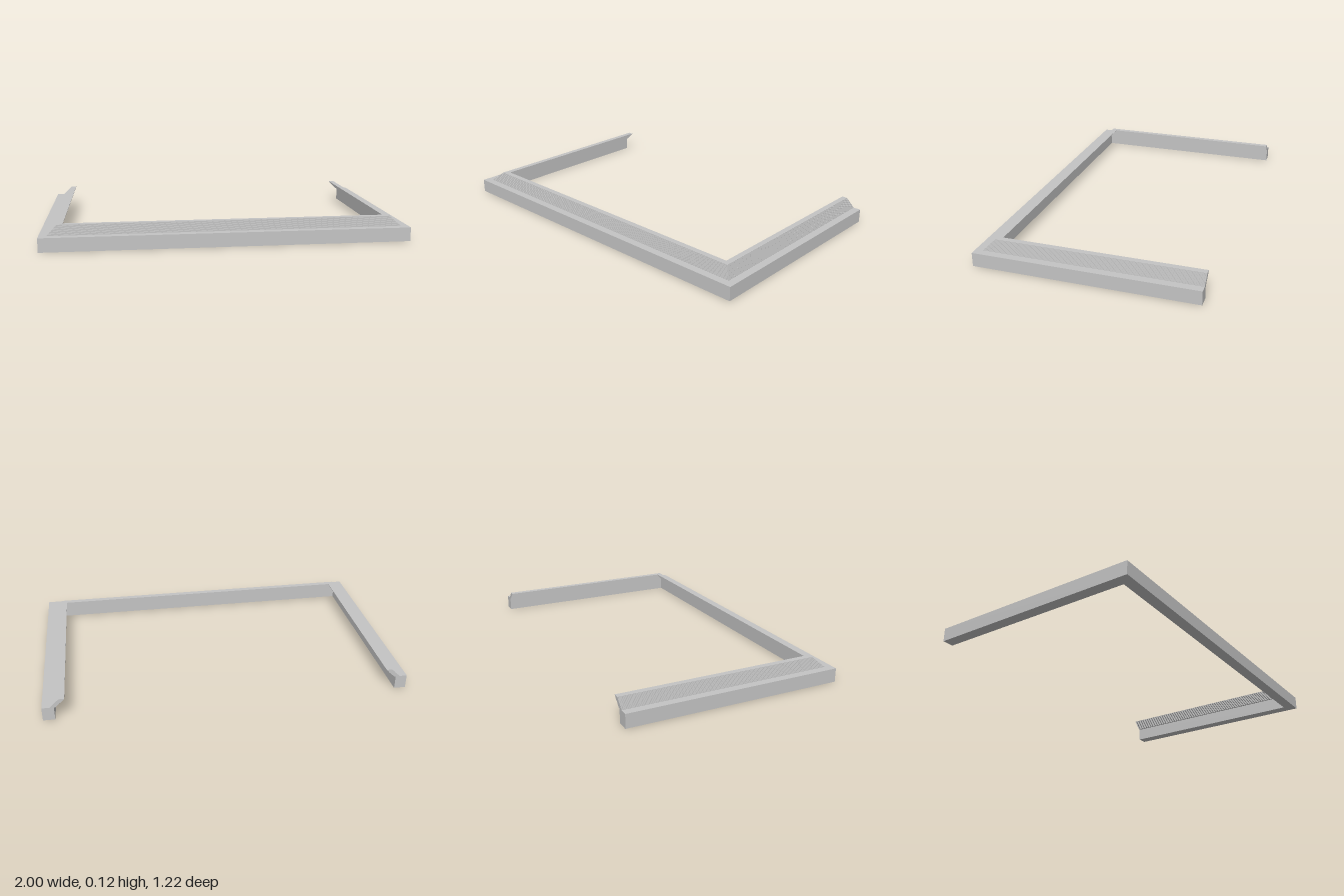
import * as THREE from 'three';
import { mergeGeometries } from 'three/addons/utils/BufferGeometryUtils.js';

const HALF_X = 1, HALF_Z = 0.61;

// Sweeps a rectangular section along the mitred U path; d is the inset from the outer edge.
function sweepU(d0, d1, y0, y1) {
  const section = [[d0, y0], [d1, y0], [d1, y1], [d0, y1]];
  const rings = [
    ([d, y]) => [-HALF_X + d, y, -HALF_Z],
    ([d, y]) => [-HALF_X + d, y, HALF_Z - d],
    ([d, y]) => [HALF_X - d, y, HALF_Z - d],
    ([d, y]) => [HALF_X - d, y, -HALF_Z],
  ];
  const positions = rings.flatMap((place) => section.flatMap(place));
  const index = [];
  for (let i = 0; i < 3; i++) {
    for (let k = 0; k < 4; k++) {
      const a = i * 4 + k, b = i * 4 + (k + 1) % 4;
      index.push(a, b, b + 4, a, b + 4, a + 4);
    }
  }
  // end caps
  index.push(0, 2, 1, 0, 3, 2, 12, 13, 14, 12, 14, 15);
  const indexed = new THREE.BufferGeometry();
  indexed.setAttribute('position', new THREE.Float32BufferAttribute(positions, 3));
  indexed.setIndex(index);
  const geometry = indexed.toNonIndexed();
  geometry.computeVertexNormals();
  return geometry;
}

export function createModel() {
  const group = new THREE.Group();
  group.name = 'cornerTrim';
  const lightGrey = new THREE.MeshStandardMaterial({ color: 0xc4c4c4 });
  lightGrey.name = 'lightGrey';

  const add = (name, geometry) => {
    const mesh = new THREE.Mesh(geometry, lightGrey);
    mesh.name = name;
    group.add(mesh);
  };

  // upright kerb around three sides
  const kerbTop = 0.077;
  add('kerb', sweepU(0, 0.064, 0, kerbTop));

  // flange leaning inward, built up in fine stepped layers
  const steps = 16, rise = (0.125 - kerbTop) / steps, shift = 0.047 / (steps - 1);
  const layers = [];
  for (let i = 0; i < steps; i++) {
    const d = 0.043 + i * shift, y = kerbTop + i * rise;
    layers.push(sweepU(d, d + 0.032, y, y + rise));
  }
  add('steppedFlange', mergeGeometries(layers));

  return group;
}
